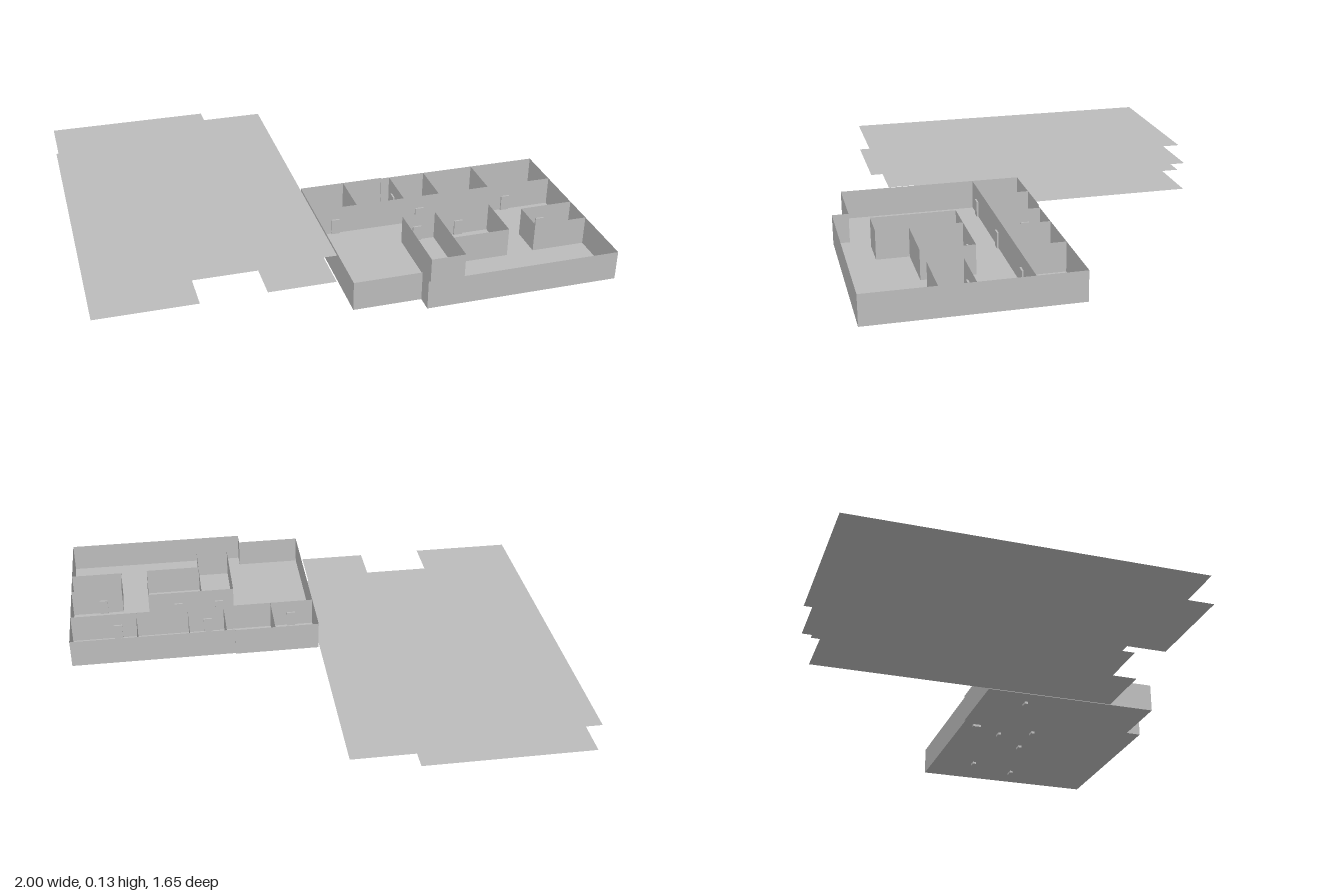
import * as THREE from 'three';

const FLOOR = 0.01, TOP = 0.13;

export function createModel() {
  const model = new THREE.Group();
  model.name = 'floorPlan';
  const grey = new THREE.MeshStandardMaterial({ color: 0xbcbcbc, side: THREE.DoubleSide });
  grey.name = 'plain grey';

  const add = (geometry, name) => {
    const mesh = new THREE.Mesh(geometry, grey);
    mesh.name = name;
    model.add(mesh);
    return mesh;
  };

  // Flat horizontal sheet from an outline of [x, z] points
  const sheet = (outline, y, name) => {
    const shape = new THREE.Shape(outline.map(([x, z]) => new THREE.Vector2(x, -z)));
    add(new THREE.ShapeGeometry(shape).rotateX(-Math.PI / 2), name).position.y = y;
  };

  // Upright sheet between two [x, z] points
  const wall = ([x1, z1], [x2, z2], name) => {
    const dx = x2 - x1, dz = z2 - z1;
    const mesh = add(new THREE.PlaneGeometry(Math.hypot(dx, dz), TOP - FLOOR), name);
    mesh.position.set((x1 + x2) / 2, (FLOOR + TOP) / 2, (z1 + z2) / 2);
    mesh.rotation.y = Math.atan2(-dz, dx);
  };

  // Neighbouring unit: bare floor and ceiling
  const annex = [
    [-1, -0.83], [-0.31, -0.83], [-0.31, -0.755], [-0.05, -0.755], [-0.05, 0.56],
    [-0.325, 0.56], [-0.325, 0.4], [-0.59, 0.4], [-0.59, 0.565], [-1, 0.565],
  ];
  sheet(annex, FLOOR, 'annexFloor');
  sheet(annex, TOP, 'annexCeiling');

  // Open house: floor and outer walls
  const house = [
    [-0.045, 0.01], [0.31, 0.01], [0.31, 0.015], [1, 0.015],
    [1, 0.825], [0.225, 0.825], [0.225, 0.76], [-0.045, 0.76],
  ];
  sheet(house, FLOOR, 'houseFloor');
  house.forEach((p, i) => wall(p, house[(i + 1) % house.length], 'outerWall'));

  // Partitions: back row of rooms, middle block, side closet
  [
    [[-0.045, 0.205], [1, 0.205]],
    [[0.14, 0.01], [0.14, 0.205]],
    [[0.345, 0.015], [0.345, 0.205]],
    [[0.5, 0.015], [0.5, 0.205]],
    [[0.72, 0.015], [0.72, 0.205]],
    [[0.29, 0.345], [0.665, 0.345]],
    [[0.29, 0.345], [0.29, 0.685]],
    [[0.43, 0.345], [0.43, 0.685]],
    [[0.29, 0.685], [0.43, 0.685]],
    [[0.43, 0.555], [0.665, 0.555]],
    [[0.665, 0.345], [0.665, 0.555]],
    [[0.78, 0.415], [1, 0.415]],
    [[0.78, 0.415], [0.78, 0.55]],
    [[0.78, 0.55], [1, 0.55]],
  ].forEach(([a, b]) => wall(a, b, 'partition'));

  // Doors, reaching slightly below the floor
  const H = 0.075, W = 0.036, T = 0.014;
  [
    [0.05, 0.205], [0.415, 0.205], [0.803, 0.205],
    [0.355, 0.345], [0.535, 0.345], [0.865, 0.415], [0.345, 0.078, true],
  ].forEach(([x, z, turned]) => {
    const door = add(new THREE.BoxGeometry(turned ? T : W, H, turned ? W : T), 'door');
    door.position.set(x, H / 2, z);
  });

  return model;
}
